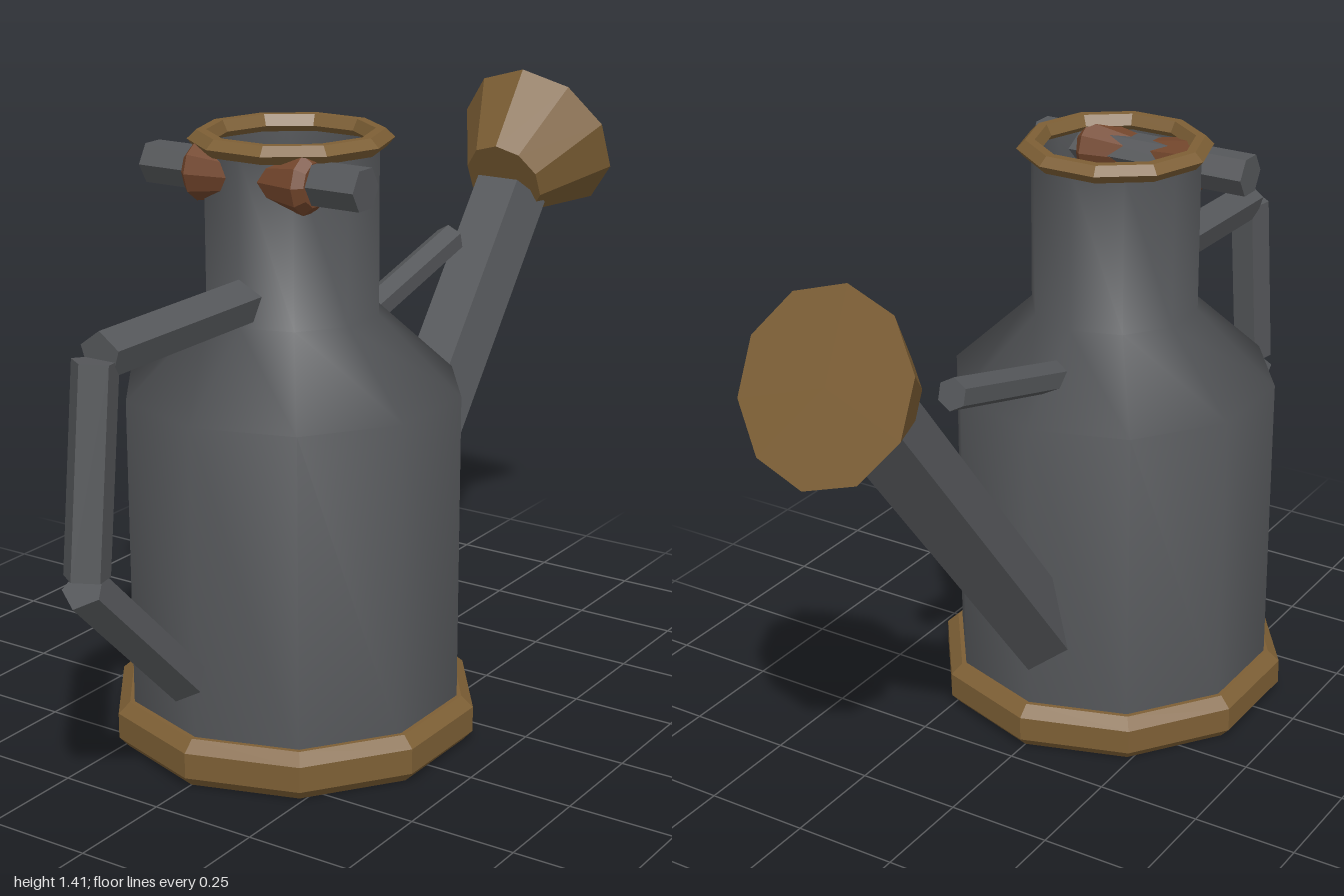
import * as THREE from 'three';

const STEEL = 0x55575a, BRASS = 0x7d5f35, WOOD = 0x73462c;
const CZ = 0.218; // body axis

function material(color, options = {}) {
  return new THREE.MeshStandardMaterial({ color, flatShading: true, ...options });
}

// Turned part from [radius, y] points, ten-sided
function turned(name, profile, mat, phi = 0) {
  const points = profile.map(([r, y]) => new THREE.Vector2(r, y));
  const mesh = new THREE.Mesh(new THREE.LatheGeometry(points, 10, phi), mat);
  mesh.name = name;
  return mesh;
}

// Straight faceted rod in the x = 0 plane, between [y, z] points
function rod(name, a, b, r0, r1, sides, mat, turn = 0) {
  const dy = b[0] - a[0], dz = b[1] - a[1];
  const geo = new THREE.CylinderGeometry(r1, r0, Math.hypot(dy, dz), sides);
  geo.rotateY(turn);
  const mesh = new THREE.Mesh(geo, mat);
  mesh.name = name;
  mesh.position.set(0, (a[0] + b[0]) / 2, (a[1] + b[1]) / 2);
  mesh.rotation.x = Math.atan2(dz, dy);
  return mesh;
}

export function createModel() {
  const model = new THREE.Group();
  model.name = 'wateringCan';
  const steel = material(STEEL), brass = material(BRASS), wood = material(WOOD);

  // Open can body with shoulder and neck, softly shaded
  const body = turned('body', [[0.389, 0.08], [0.389, 0.83], [0.2, 1.005], [0.2, 1.39]],
    material(STEEL, { flatShading: false, side: THREE.DoubleSide }));
  body.position.z = CZ;

  // Bevelled foot and rim
  const base = turned('base', [[0, 0], [0.405, 0], [0.428, 0.025], [0.428, 0.085], [0.4, 0.11], [0, 0.11]], brass);
  base.position.z = CZ;
  const rim = turned('rim', [[0.172, 1.385], [0.19, 1.37], [0.21, 1.37], [0.2275, 1.39],
    [0.207, 1.41], [0.185, 1.41], [0.172, 1.385]], brass, Math.PI / 10);
  rim.position.z = CZ;
  model.add(body, base, rim);

  // Three-part rear handle, from the bottom up
  const handle = new THREE.Group();
  handle.name = 'handle';
  const segments = [
    [[0.257, 0.636], [0.586, 0.966]],
    [[0.604, 0.955], [1.051, 0.906]],
    [[1.058, 0.89], [1.063, 0.36]],
  ];
  segments.forEach(([a, b], i) => handle.add(rod('handleSegment' + (i + 1), a, b, 0.051, 0.051, 5, steel)));
  model.add(handle);

  // Spout, its rose and the short brace
  model.add(
    rod('spout', [0.2, -0.05], [1.095, -0.755], 0.096, 0.096, 5, steel, Math.PI),
    rod('rose', [1.13, -0.725], [1.212, -0.9], 0.104, 0.208, 10, brass),
    rod('brace', [0.902, 0], [1.03, -0.464], 0.0375, 0.0375, 6, steel),
  );

  // Cross bar at the neck with a pinched grip
  const bar = new THREE.Mesh(new THREE.CylinderGeometry(0.05, 0.05, 0.56, 6), steel);
  bar.name = 'crossBar';
  const grip = turned('grip', [[0, -0.16], [0.05, -0.16], [0.069, -0.14], [0.042, 0],
    [0.069, 0.14], [0.05, 0.16], [0, 0.16]], wood);
  bar.position.set(0, 1.33, 0.35);
  grip.position.set(0, 1.328, 0.355);
  bar.rotation.z = grip.rotation.z = Math.PI / 2;
  model.add(bar, grip);

  return model;
}
